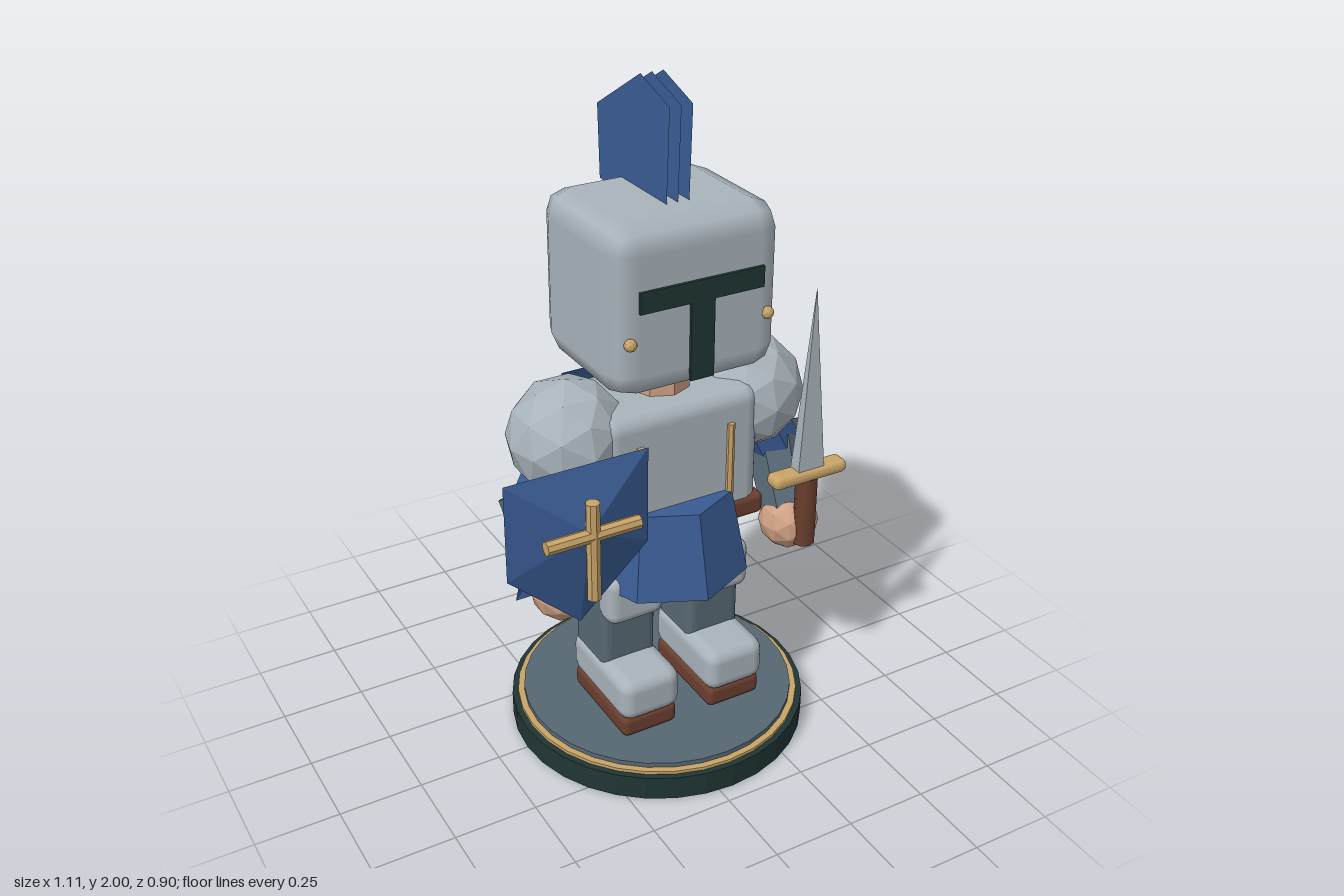
import * as THREE from 'three';
import { RoundedBoxGeometry } from 'three/addons/geometries/RoundedBoxGeometry.js';

const mat = (name, color, extra = {}) => {
  const m = new THREE.MeshStandardMaterial({ color, ...extra });
  m.name = name;
  return m;
};

export function createModel() {
  const flat = { flatShading: true };
  const cloth = { flatShading: true, side: THREE.DoubleSide };
  const steel = mat('steel', 0xa9b3bb);
  const facetSteel = mat('facetedSteel', 0xa9b3bb, flat);
  const blue = mat('blueCloth', 0x3a5c94, cloth);
  const slate = mat('slate', 0x566873, flat);
  const gold = mat('gold', 0xc8a467, flat);
  const brown = mat('leather', 0x6b3f2e);
  const green = mat('darkGreen', 0x203534, flat);
  const skin = mat('skin', 0xcfa084, flat);

  const model = new THREE.Group();
  model.name = 'knight';
  // Body parts are measured from the knight's own axis
  const body = new THREE.Group();
  body.name = 'figure';
  body.position.x = 0.045;
  model.add(body);

  const add = (name, geo, material, x = 0, y = 0, z = 0) => {
    const m = new THREE.Mesh(geo, material);
    m.name = name;
    m.position.set(x, y, z);
    body.add(m);
    return m;
  };
  const box = (w, h, d) => new THREE.BoxGeometry(w, h, d);
  const round = (w, h, d, r, s = 2) => new RoundedBoxGeometry(w, h, d, s, r);
  const cyl = (rt, rb, h, n) => new THREE.CylinderGeometry(rt, rb, h, n);
  // Tapered limb between two points
  const limb = (name, a, b, ra, rb, n, material) => {
    const p = new THREE.Vector3(...a), q = new THREE.Vector3(...b);
    const d = p.clone().sub(q);
    const m = add(name, cyl(ra, rb, d.length(), n), material);
    m.position.copy(p).add(q).multiplyScalar(0.5);
    m.quaternion.setFromUnitVectors(new THREE.Vector3(0, 1, 0), d.normalize());
    return m;
  };
  // Faceted sheet: an outline joined to one raised point
  const fan = (apex, rim) => {
    const pts = [];
    rim.forEach((p, i) => pts.push(...apex, ...p, ...rim[(i + 1) % rim.length]));
    const g = new THREE.BufferGeometry();
    g.setAttribute('position', new THREE.Float32BufferAttribute(pts, 3));
    g.computeVertexNormals();
    return g;
  };

  // Display base
  add('basePlinth', cyl(0.45, 0.45, 0.075, 32), green, 0, 0.0375);
  add('baseGoldRing', cyl(0.432, 0.432, 0.012, 32), gold, 0, 0.079);
  add('baseTop', cyl(0.413, 0.413, 0.02, 32), slate, 0, 0.09);

  // Legs and arms, mirrored
  for (const s of [-1, 1]) {
    const side = s > 0 ? 'left' : 'right';
    const x = s * 0.145;
    add(side + 'Sole', round(0.18, 0.07, 0.32, 0.02), brown, x, 0.134, 0.06);
    add(side + 'Boot', round(0.195, 0.14, 0.34, 0.04), steel, x, 0.23, 0.065);
    add(side + 'Leg', round(0.175, 0.4, 0.19, 0.025), slate, x, 0.46);
    add(side + 'KneeGuard', round(0.185, 0.16, 0.09, 0.035), steel, x, 0.525, 0.1);

    const elbow = [s * 0.395, 0.83, 0.01], hand = [s * 0.38, 0.63, 0.125];
    limb(side + 'UpperArm', [s * 0.3, 1.02, 0], elbow, 0.08, 0.085, 7, blue);
    limb(side + 'Forearm', [s * 0.4, 0.88, -0.02], hand, 0.092, 0.075, 7, slate);
    add(side + 'Hand', new THREE.IcosahedronGeometry(0.09, 1), skin, ...hand);
    add(side + 'Pauldron', new THREE.IcosahedronGeometry(0.172, 1), facetSteel, s * 0.29, 1.035);

    add(side + 'ChestTrim', cyl(0.012, 0.012, 0.24, 6), gold, x, 0.91, 0.158);
    add(side + 'HelmetRivet', new THREE.IcosahedronGeometry(0.018, 1), gold, s * 0.21, 1.38, 0.22);
  }

  // Torso, belt and flared skirt
  add('breastplate', round(0.505, 0.42, 0.31, 0.05), steel, 0, 0.915);
  add('belt', round(0.53, 0.07, 0.325, 0.02), brown, 0, 0.738);
  const skirt = add('skirt', cyl(0.235, 0.29, 0.255, 8), blue, 0, 0.687);
  skirt.scale.x = 0.9;
  add('neck', cyl(0.09, 0.09, 0.14, 8), skin, 0, 1.16);

  // Helmet with T-shaped visor
  add('helmet', round(0.515, 0.485, 0.445, 0.075, 1), steel, 0, 1.448, 0.002);
  add('visorSlit', box(0.375, 0.06, 0.009), green, 0, 1.495, 0.23);
  add('visorStem', box(0.072, 0.225, 0.009), green, 0, 1.353, 0.23);

  // Plume of three flat vanes
  const vane = new THREE.Shape([
    [-0.095, 1.62], [0.27, 1.65], [0.28, 1.86], [0.04, 2], [-0.11, 1.95],
  ].map(([u, v]) => new THREE.Vector2(u, v)));
  for (const i of [-1, 0, 1]) {
    add('plumeVane', new THREE.ShapeGeometry(vane), blue, i * 0.034).rotation.y = Math.PI / 2;
  }

  // Cape with a single raised fold
  add('cape', fan([0, 0.61, -0.36], [
    [-0.21, 1.125, -0.185], [0.21, 1.125, -0.185], [0.337, 0.32, -0.292], [-0.337, 0.32, -0.292],
  ]), blue);

  // Shield and its cross
  add('shield', fan([0, 0.925, 0.327], [
    [-0.212, 1.09, 0.257], [-0.212, 0.8, 0.257], [0, 0.605, 0.257], [0.212, 0.8, 0.257], [0.212, 1.09, 0.257],
  ]), blue, -0.39);
  add('shieldCrossUpright', cyl(0.02, 0.02, 0.295, 8), gold, -0.39, 0.88, 0.342);
  add('shieldCrossBar', cyl(0.02, 0.02, 0.275, 8), gold, -0.39, 0.93, 0.342).rotation.z = Math.PI / 2;

  // Sword
  add('swordGrip', cyl(0.033, 0.033, 0.225, 8), brown, 0.385, 0.7, 0.2);
  add('swordGuard', round(0.25, 0.042, 0.062, 0.018), gold, 0.385, 0.825, 0.2);
  const blade = new THREE.ConeGeometry(Math.SQRT1_2, 1, 4).rotateY(Math.PI / 4);
  add('swordBlade', blade, facetSteel, 0.385, 1.123, 0.2).scale.set(0.09, 0.575, 0.042);

  return model;
}
